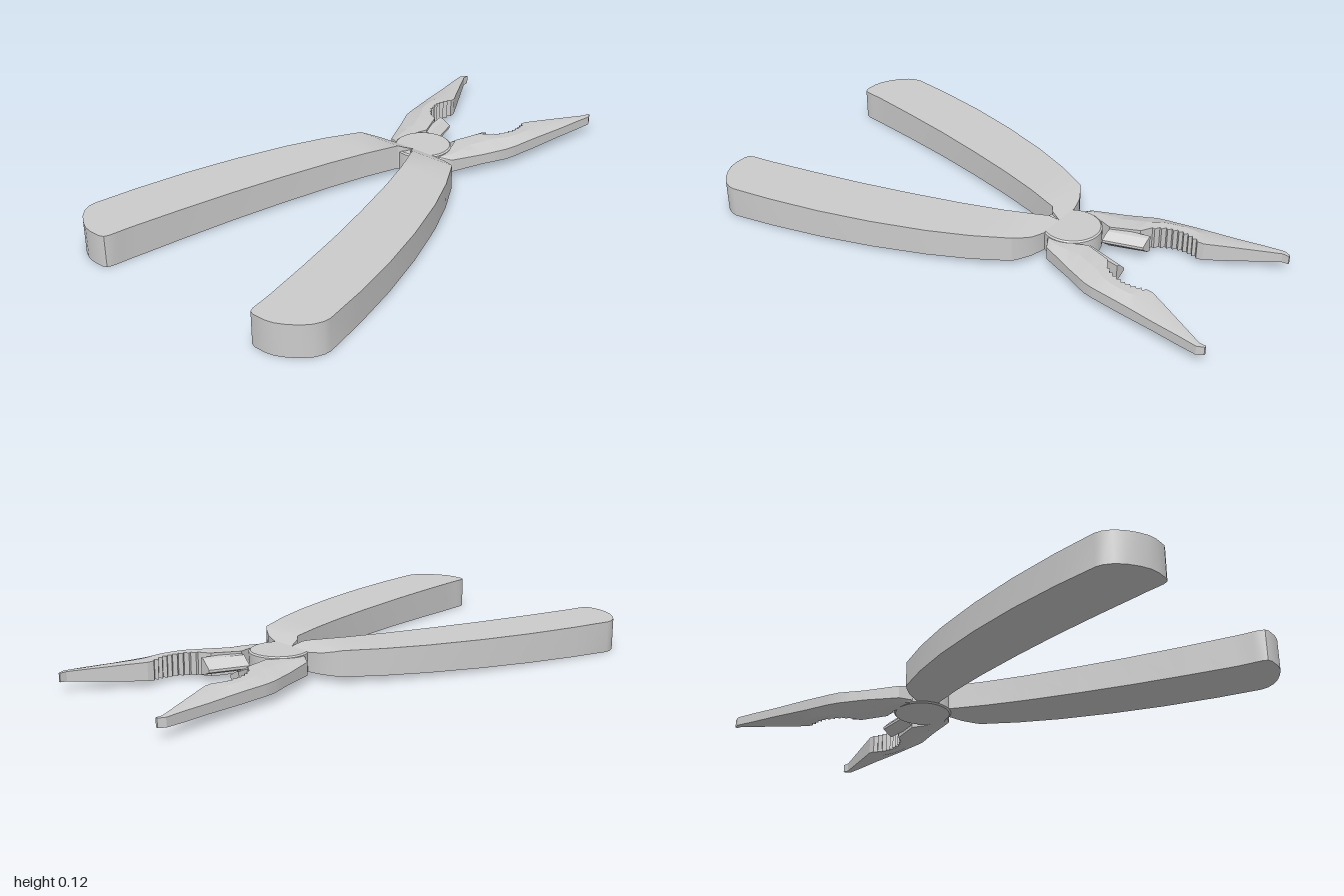
import * as THREE from 'three';
import { toCreasedNormals } from 'three/addons/utils/BufferGeometryUtils.js';

const material = new THREE.MeshStandardMaterial({ color: 0xcccccc });

// Skin cross-sections along x; each ring is a list of [z, y]. side = -1 mirrors in z.
function loft(name, stations, side = 1, crease = 0.45) {
  const pos = [], idx = [], n = stations[0].ring.length;
  for (const { x, ring } of stations) for (const [z, y] of ring) pos.push(x, y, z * side);
  const tri = (a, b, c) => (side > 0 ? idx.push(a, b, c) : idx.push(a, c, b));
  for (let i = 0; i < stations.length - 1; i++)
    for (let j = 0; j < n; j++) {
      const k = (j + 1) % n, a = i * n + j, b = i * n + k;
      tri(a, b, b + n);
      tri(a, b + n, a + n);
    }
  const last = (stations.length - 1) * n;
  for (let j = 1; j < n - 1; j++) {
    tri(0, j + 1, j);
    tri(last, last + j, last + j + 1);
  }
  const g = new THREE.BufferGeometry();
  g.setAttribute('position', new THREE.Float32BufferAttribute(pos, 3));
  g.setIndex(idx);
  const mesh = new THREE.Mesh(toCreasedNormals(g.toNonIndexed(), crease), material);
  mesh.name = name;
  return mesh;
}

// Piecewise-linear lookup in a list of [x, value]
function sample(table, x) {
  if (x <= table[0][0]) return table[0][1];
  for (let i = 1; i < table.length; i++) {
    const [x0, v0] = table[i - 1], [x1, v1] = table[i];
    if (x <= x1) return v0 + ((v1 - v0) * (x - x0)) / (x1 - x0);
  }
  return table[table.length - 1][1];
}

// Box-like ring between an inner and outer z
const boxRing = (zi, zo, y0, y1) => [[zi, y0], [zi, y1], [zo, y1], [zo, y0]];

// Handle: curved slab, rounded at the free end, sloping down to the neck
function handle(side) {
  const rows = [
    // x, inner z, outer z, top y
    [-1, 0.365, 0.41, 0.12], [-0.993, 0.348, 0.445, 0.12], [-0.975, 0.34, 0.48, 0.12],
    [-0.95, 0.336, 0.515, 0.12], [-0.92, 0.332, 0.542, 0.12], [-0.89, 0.327, 0.556, 0.12],
    [-0.865, 0.322, 0.559, 0.12], [-0.7, 0.289, 0.532, 0.12], [-0.5, 0.245, 0.489, 0.12],
    [-0.3, 0.194, 0.433, 0.12], [-0.1, 0.137, 0.363, 0.12], [0.05, 0.087, 0.297, 0.12],
    [0.18, 0.035, 0.225, 0.12], [0.195, 0.015, 0.203, 0.114], [0.22, 0.005, 0.158, 0.104],
    [0.235, 0, 0.1, 0.097],
  ];
  return loft('handle', rows.map(([x, zi, zo, top]) => ({
    x, ring: boxRing(zi, zo, Math.max(0, (x + 0.87) * 0.022), top),
  })), side);
}

// Jaw: bevelled towards its back, with a toothed hollow in the gripping edge
function jaw(side) {
  const outer = [[0.25, 0.1], [0.28, 0.15], [0.5, 0.25], [0.54, 0.26], [0.975, 0.33], [1, 0.318]];
  const inner = [[0.25, 0.085], [0.3, 0.1], [0.36, 0.09], [0.405, 0.072], [0.51, 0.112],
    [0.54, 0.15], [0.57, 0.172], [0.62, 0.188], [0.66, 0.188], [0.7, 0.177], [0.73, 0.18],
    [0.975, 0.309], [1, 0.309]];
  const half = [[0.25, 0.034], [0.35, 0.038], [0.5, 0.043], [0.65, 0.039], [0.8, 0.03], [1, 0.016]];
  const bevel = [[0.25, 0.75], [0.4, 0.5], [0.55, 0.5], [0.8, 0.6], [1, 1]];
  const xs = [0.25, 0.28, 0.3, 0.33, 0.36, 0.405, 0.45, 0.5, 0.51];
  const teeth = 18;
  for (let i = 0; i <= teeth; i++) xs.push(0.535 + (i * 0.18) / teeth);
  xs.push(0.73, 0.8, 0.9, 0.975, 1);
  const stations = xs.map((x, i) => {
    const tooth = i >= 9 && i < 9 + teeth && i % 2 ? 0.012 : 0;
    const zi = sample(inner, x) + tooth, zo = sample(outer, x);
    const zm = sample(inner, x) * 0.5 + zo * 0.5;
    const h = sample(half, x), e = h * sample(bevel, x), c = 0.055;
    return { x, ring: [[zi, c - h], [zi, c + h], [zm, c + h], [zo, c + e], [zo, c - e], [zm, c - h]] };
  });
  return loft('jaw', stations, side, 0.3);
}

// Cutter: wedge-shaped blade beside the pivot
function cutter(side) {
  const edge = side > 0 ? 0.047 : 0.06;
  const ring = (zi, zo) => [[zi, edge - 0.005], [zi, edge + 0.005], [zi + 0.035, 0.085],
    [zo, 0.088], [zo, 0.025], [zi + 0.035, 0.028]];
  return loft('cutter', [
    { x: 0.405, ring: ring(0.022, 0.085) },
    { x: 0.55, ring: ring(0.065, 0.115) },
  ], side, 0.3);
}

export function createModel() {
  const group = new THREE.Group();
  group.name = 'pliers';
  for (const side of [1, -1]) group.add(handle(side), jaw(side), cutter(side));

  // Neck joining the handles to the pivot
  const neck = [[0.185, 0.03], [0.21, 0.07], [0.24, 0.095], [0.3, 0.1]];
  group.add(loft('neck', neck.map(([x, w]) => ({ x, ring: boxRing(-w, w, 0.022, 0.094) }))));

  // Pivot disc with a slightly chamfered rim
  const profile = [[0, 0.018], [0.104, 0.018], [0.11, 0.023], [0.11, 0.093], [0.104, 0.098], [0, 0.098]]
    .map(([r, y]) => new THREE.Vector2(r, y));
  const disc = new THREE.LatheGeometry(profile, 48).toNonIndexed();
  const pivot = new THREE.Mesh(toCreasedNormals(disc, 0.4), material);
  pivot.name = 'pivot';
  pivot.position.x = 0.29;
  group.add(pivot);
  return group;
}
